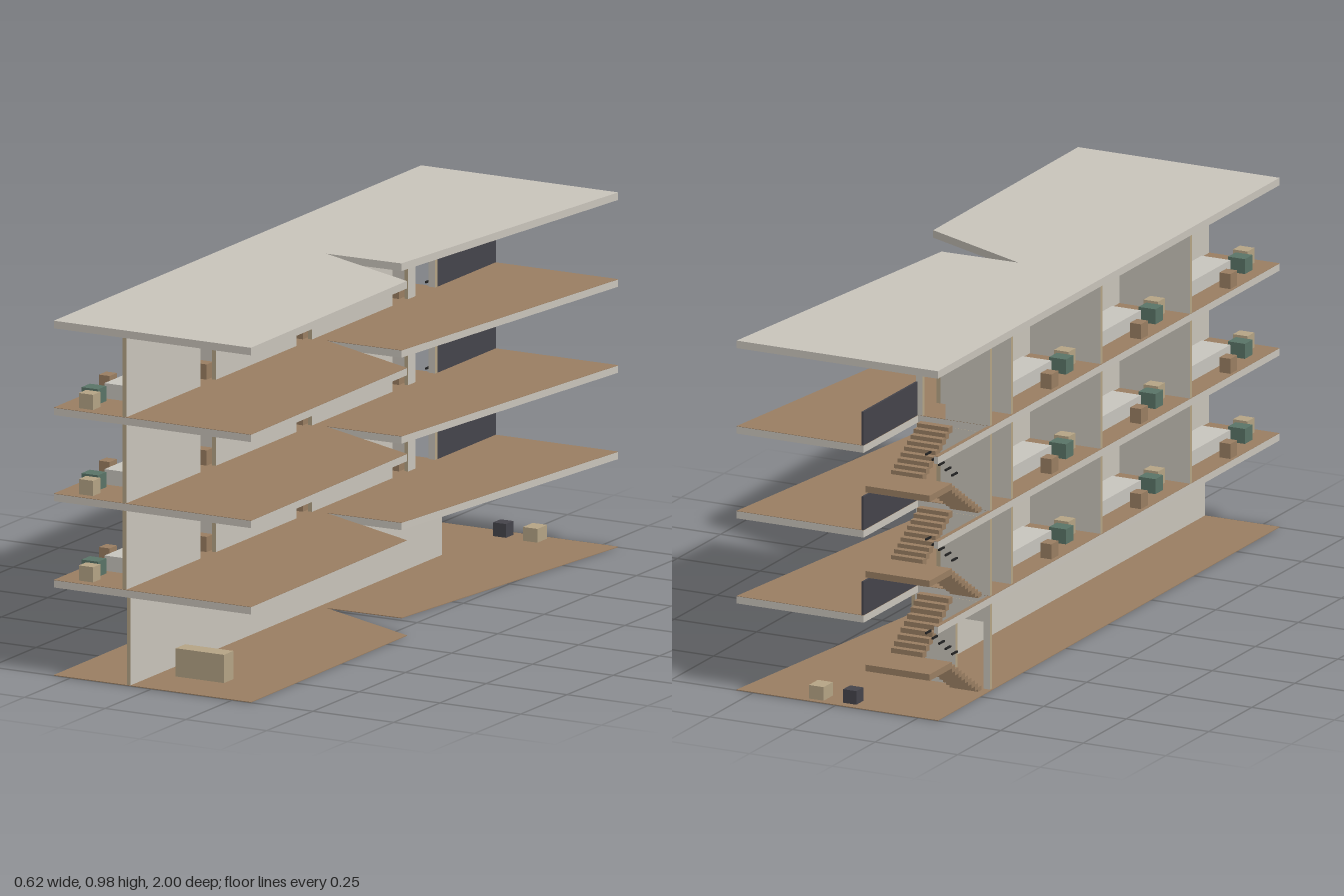
import * as THREE from 'three';

const mat = (name, color) => Object.assign(new THREE.MeshStandardMaterial({ color }), { name });
const concrete = mat('concrete', 0xc9c4bb);
const plaster = mat('plaster', 0xc9c4ba);
const wood = mat('wood', 0x9a7e62);
const beige = mat('beige', 0xb5a485);
const green = mat('green', 0x5a7467);
const dark = mat('charcoal', 0x45444b);
const black = mat('black', 0x222222);
const linen = mat('linen', 0xc8c5be);

const FLOORS = [0.265, 0.504, 0.742]; // upper floor levels
const SLAB = 0.021;
const WALL = 0.012;
const ROOM = 0.52;

// Plan outlines as [x, z]
const backLeft = [[0.3, -1], [0.19, -0.02], [-0.04, -0.015], [0.3, 0.143], [0.308, 1], [-0.302, 1]];
const fullPlan = [[-0.31, -1], ...backLeft];
const stairPlan = [[-0.31, -1], [-0.298, -1], [-0.298, -0.685], [-0.085, -0.685], [-0.085, -1], ...backLeft];

const toShape = (pts) => new THREE.Shape(pts.map(([x, z]) => new THREE.Vector2(x, -z)));

function add(parent, name, geometry, material) {
  const mesh = new THREE.Mesh(geometry, material);
  mesh.name = name;
  parent.add(mesh);
  return mesh;
}

// Box given by its minimum and maximum corners
function box(parent, name, material, [x0, y0, z0], [x1, y1, z1]) {
  const g = new THREE.BoxGeometry(x1 - x0, y1 - y0, z1 - z0);
  g.translate((x0 + x1) / 2, (y0 + y1) / 2, (z0 + z1) / 2);
  return add(parent, name, g, material);
}

// Horizontal plate whose underside is at y
function plate(parent, name, material, pts, y, depth) {
  const g = new THREE.ExtrudeGeometry(toShape(pts), { depth, bevelEnabled: false });
  g.rotateX(-Math.PI / 2).translate(0, y, 0);
  return add(parent, name, g, material);
}

// Wall from a to b along x or z, with door notches; plaster faces, beige edges
function wall(parent, name, axis, a, b, y0, y1, pos, doors = []) {
  const s = new THREE.Shape();
  s.moveTo(a, y0);
  for (const [d0, d1] of doors) {
    s.lineTo(d0, y0);
    s.lineTo(d0, y0 + 0.188);
    s.lineTo(d1, y0 + 0.188);
    s.lineTo(d1, y0);
  }
  s.lineTo(b, y0);
  s.lineTo(b, y1);
  s.lineTo(a, y1);
  s.closePath();
  const g = new THREE.ExtrudeGeometry(s, { depth: WALL, bevelEnabled: false });
  g.translate(0, 0, -WALL / 2);
  if (axis === 'z') g.rotateY(-Math.PI / 2).translate(pos, 0, 0);
  else g.translate(0, 0, pos);
  return add(parent, name, g, [plaster, beige]);
}

// Two flights with a half landing, climbing from y0 to y1
function staircase(parent, y0, y1) {
  const g = new THREE.Group();
  g.name = 'staircase';
  const n = 9, run = 0.019, mid = y0 + 0.125;
  const rise = 0.125 / (n + 1), rise2 = (y1 - mid) / (n + 1);
  for (let i = 0; i < n; i++) {
    const za = -0.7 - i * run, top = y0 + (i + 1) * rise;
    box(g, 'lowerStep', wood, [-0.285, Math.max(y0, top - 0.018), za - run], [-0.208, top, za]);
    const zb = -0.871 + i * run, top2 = mid + (i + 1) * rise2;
    box(g, 'upperStep', wood, [-0.196, top2 - 0.018, zb], [-0.1, top2, zb + run + 0.003]);
    // short handrail pieces
    if (i % 2 === 0) {
      box(g, 'handrail', black, [-0.214, top + 0.083, za - 0.03], [-0.209, top + 0.088, za]);
    }
  }
  box(g, 'landing', wood, [-0.285, mid - 0.018, -1], [-0.09, mid, -0.871]);
  parent.add(g);
}

// Furniture of one room; z is its dividing wall
function furnish(parent, y, z) {
  const g = new THREE.Group();
  g.name = 'furniture';
  const h = 0.042;
  box(g, 'bed', linen, [-0.235, y, z + 0.04], [-0.148, y + h, z + 0.36]);
  box(g, 'bedsideCabinet', wood, [-0.14, y, z + 0.007], [-0.1, y + h, z + 0.043]);
  box(g, 'stool', wood, [-0.295, y, z + 0.245], [-0.262, y + h, z + 0.285]);
  box(g, 'armchair', green, [-0.266, y, z + 0.385], [-0.215, y + h, z + 0.43]);
  box(g, 'sideTable', beige, [-0.24, y, z + 0.45], [-0.196, y + h, z + 0.49]);
  parent.add(g);
}

export function createModel() {
  const model = new THREE.Group();
  model.name = 'slabBuilding';

  // Ground, floors and roof
  plate(model, 'groundFloor', wood, fullPlan, 0, 0.002);
  for (const y of FLOORS) {
    plate(model, 'floorSlab', concrete, stairPlan, y - SLAB, SLAB - 0.001);
    plate(model, 'floorFinish', wood, stairPlan, y - 0.001, 0.001);
  }
  plate(model, 'roof', concrete, fullPlan, 0.961, SLAB);

  // Ground storey walls, hanging panel and furniture
  wall(model, 'groundLongWall', 'z', -0.685, 0.998, 0.002, 0.244, -0.071);
  wall(model, 'groundCrossWall', 'x', -0.304, -0.077, 0.002, 0.244, -0.68, [[-0.285, -0.2]]);
  box(model, 'hangingPanel', plaster, [-0.08, 0.188, -0.466], [-0.042, 0.244, -0.464]);
  box(model, 'hangingPanelEdge', beige, [-0.042, 0.188, -0.47], [-0.04, 0.244, -0.46]);
  box(model, 'desk', beige, [-0.01, 0.002, 0.8], [0.14, 0.08, 0.852]);
  box(model, 'beigeSeat', beige, [0.045, 0.002, -0.983], [0.09, 0.04, -0.93]);
  box(model, 'darkSeat', dark, [-0.05, 0.002, -0.975], [-0.01, 0.04, -0.935]);

  // Upper storeys
  const ceilings = [FLOORS[1] - SLAB, FLOORS[2] - SLAB, 0.961];
  FLOORS.forEach((y, i) => {
    const storey = new THREE.Group();
    storey.name = 'storey' + (i + 1);
    const top = ceilings[i];
    const rooms = [0, 1, 2].map((k) => -0.557 + k * ROOM);
    wall(storey, 'longWall', 'z', -0.563, 0.998, y, top, -0.084,
      rooms.map((z) => [z + 0.032, z + 0.116]));
    for (const z of rooms) {
      wall(storey, 'crossWall', 'x', -0.304, -0.09, y, top, z);
      furnish(storey, y, z);
    }
    wall(storey, 'stairWall', 'x', -0.304, -0.08, y, top, -0.68, [[-0.17, -0.1]]);
    box(storey, 'stairParapet', dark, [-0.085, y, -1], [-0.079, y + 0.094, -0.686]);
    model.add(storey);
  });

  // Stairs between the storeys
  [0.002, FLOORS[0], FLOORS[1]].forEach((y, i) => staircase(model, y, FLOORS[i]));
  return model;
}
